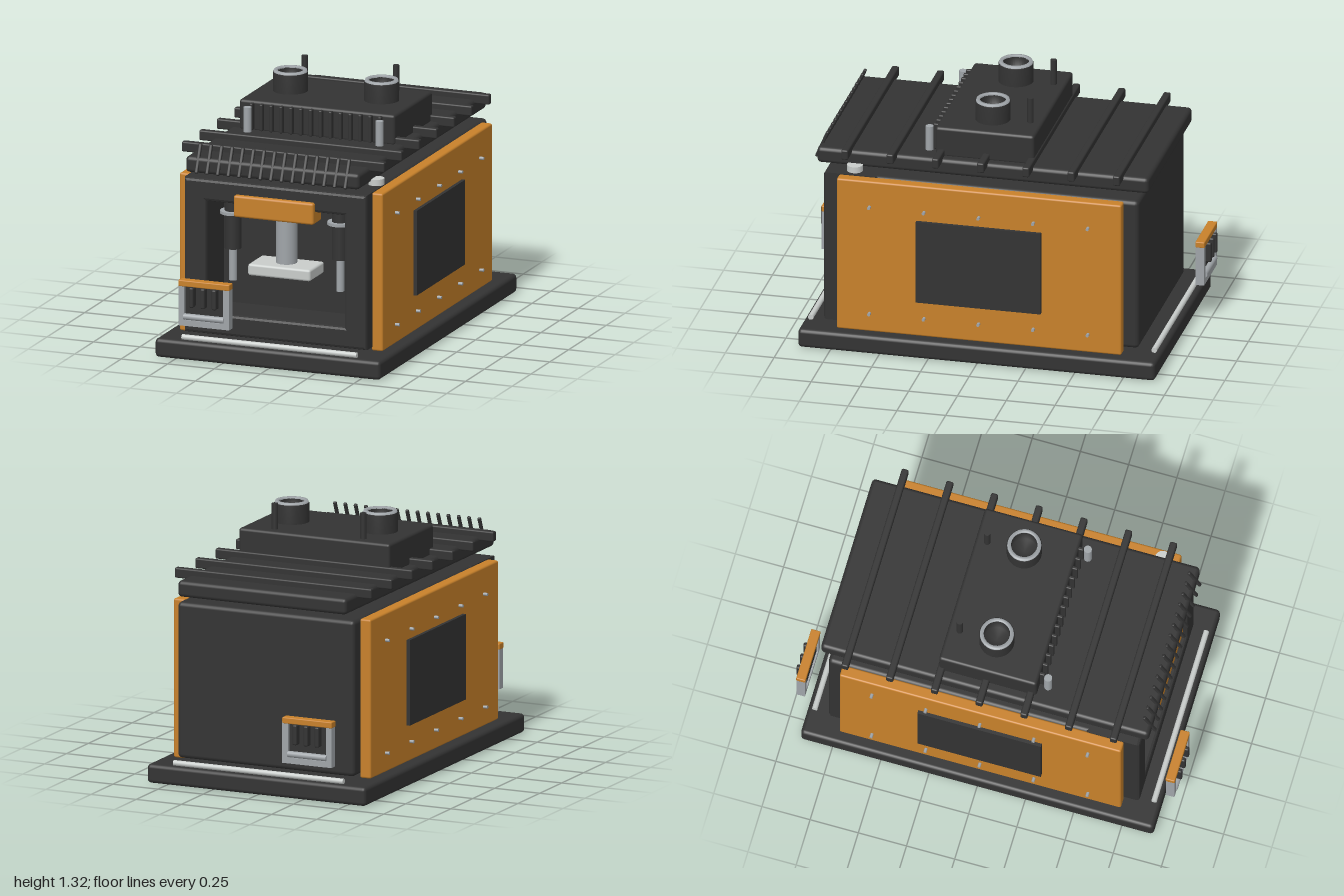
import * as THREE from 'three';
import { RoundedBoxGeometry } from 'three/addons/geometries/RoundedBoxGeometry.js';

const mat = (name, color) => {
  const m = new THREE.MeshStandardMaterial({ color });
  m.name = name;
  return m;
};

export function createModel() {
  const dark = mat('charcoal', 0x333333);
  const orange = mat('orange', 0xc8812a);
  const steel = mat('steel', 0xa0a5a9);
  const pale = mat('paleGrey', 0xc9cdcb);

  const model = new THREE.Group();
  model.name = 'machine';

  const add = (name, geometry, material, x, y, z, parent = model) => {
    const mesh = new THREE.Mesh(geometry, material);
    mesh.name = name;
    mesh.position.set(x, y, z);
    parent.add(mesh);
    return mesh;
  };
  // Box given by its limits on each axis, with optional rounded edges
  const box = (name, material, [x0, x1], [y0, y1], [z0, z1], r = 0, parent = model) => {
    const s = [x1 - x0, y1 - y0, z1 - z0];
    const g = r ? new RoundedBoxGeometry(...s, 2, r) : new THREE.BoxGeometry(...s);
    return add(name, g, material, (x0 + x1) / 2, (y0 + y1) / 2, (z0 + z1) / 2, parent);
  };
  // Upright cylinder between two heights
  const post = (name, material, x, z, r, y0, y1, parent = model) =>
    add(name, new THREE.CylinderGeometry(r, r, y1 - y0, 28), material, x, (y0 + y1) / 2, z, parent);
  // Cylinder lying along x
  const bar = (name, material, x0, x1, y, z, r, parent = model) => {
    const m = add(name, new THREE.CylinderGeometry(r, r, x1 - x0, 20), material, (x0 + x1) / 2, y, z, parent);
    m.rotation.z = Math.PI / 2;
    return m;
  };
  const rect = (path, x0, x1, y0, y1) => {
    path.moveTo(x0, y0);
    path.lineTo(x1, y0);
    path.lineTo(x1, y1);
    path.lineTo(x0, y1);
    path.closePath();
    return path;
  };
  const frame = (outer, inner, depth, bevel) => {
    const shape = rect(new THREE.Shape(), ...outer);
    shape.holes.push(rect(new THREE.Path(), ...inner));
    return new THREE.ExtrudeGeometry(shape, {
      depth, bevelEnabled: bevel > 0, bevelSize: bevel, bevelThickness: bevel, bevelSegments: 2,
    });
  };

  // Base plate with feet and the two light strips
  box('basePlate', dark, [-0.605, 0.605], [0.003, 0.1], [-0.915, 0.915], 0.02);
  for (const sx of [-1, 1]) for (const sz of [-1, 1]) {
    add('foot', new THREE.BoxGeometry(0.1, 0.008, 0.1), steel, sx * 0.5, 0.004, sz * 0.81);
  }
  for (const z of [-0.88, 0.88]) bar('lightStrip', pale, -0.47, 0.47, 0.113, z, 0.014);

  // Main housing: closed rear and a front frame around the work chamber
  box('housing', dark, [-0.49, 0.49], [0.12, 0.918], [-0.805, 0.57], 0.022);
  add('chamberFrame', frame([-0.475, 0.475, 0.135, 0.903], [-0.385, 0.385, 0.215, 0.82], 0.25, 0.015),
    dark, 0, 0, 0.545);

  // Work chamber: table, column, front grip and twin pistons
  box('workTable', pale, [-0.168, 0.168], [0.43, 0.49], [0.57, 0.76], 0.012);
  post('column', steel, 0, 0.655, 0.053, 0.48, 0.8);
  box('frontGrip', orange, [-0.215, 0.215], [0.745, 0.857], [0.72, 0.835], 0.012);
  for (const x of [-0.288, 0.288]) {
    post('pistonSleeve', dark, x, 0.655, 0.042, 0.535, 0.97);
    post('pistonCollar', steel, x, 0.655, 0.065, 0.715, 0.73);
    post('pistonRod', steel, x, 0.655, 0.02, 0.37, 0.54);
  }

  // Side panels with windows and screws
  for (const s of [-1, 1]) {
    const side = new THREE.Group();
    side.name = s > 0 ? 'leftSidePanel' : 'rightSidePanel';
    model.add(side);
    const span = (a, b) => (s > 0 ? [a, b] : [-b, -a]);
    box('panel', orange, span(0.485, 0.546), [0.101, 0.915], [-0.73, 0.73], 0.01, side);
    box('window', dark, span(0.54, 0.564), [0.29, 0.727], [-0.32, 0.32], 0, side);
    for (const z of [-0.56, -0.28, 0, 0.28, 0.56]) for (const y of [0.2, 0.777]) {
      const [x0, x1] = span(0.54, 0.568);
      bar('screw', steel, x0, x1, y, z, 0.008, side);
    }
  }

  // Roof slab, cross ribs and the raked front teeth
  box('roof', dark, [-0.467, 0.467], [0.955, 1.038], [-0.85, 0.85], 0.02);
  for (let i = 0; i < 7; i++) {
    const z = -0.703 + i * 0.232;
    box('roofRib', dark, [-0.545, 0.545], [1.018, 1.07], [z - 0.018, z + 0.018], 0.008);
  }
  for (let i = 0; i < 15; i++) {
    const tooth = add('frontTooth', new RoundedBoxGeometry(0.018, 0.152, 0.016, 2, 0.006), dark,
      -0.4 + i * 0.0571, 1.03, 0.838);
    tooth.rotation.x = -0.4;
  }
  post('roofKnob', pale, 0.48, 0.65, 0.04, 0.94, 0.972);

  // Raised engine box with fins, side pins, chimneys and rods
  box('topBox', dark, [-0.418, 0.418], [1.03, 1.188], [-0.252, 0.255], 0.015);
  for (let i = 0; i < 14; i++) {
    const x = -0.345 + i * 0.0531;
    box('topBoxFin', dark, [x - 0.009, x + 0.009], [1.04, 1.178], [0.245, 0.28], 0.006);
  }
  const chimneyProfile = [[0.088, 1.18], [0.088, 1.283], [0.083, 1.288]];
  const rimProfile = [[0.086, 1.283], [0.082, 1.296], [0.066, 1.296], [0.066, 1.285]];
  const boreProfile = [[0.066, 1.287], [0.066, 1.2], [0, 1.2]];
  const lathe = (pts) => new THREE.LatheGeometry(pts.map((p) => new THREE.Vector2(...p)), 36);
  for (const x of [-0.245, 0.245]) {
    add('chimney', lathe(chimneyProfile), dark, x, 0, 0);
    add('chimneyRim', lathe(rimProfile), steel, x, 0, 0);
    add('chimneyBore', lathe(boreProfile), dark, x, 0, 0);
    post('topRod', dark, x, -0.192, 0.016, 1.18, 1.32);
  }
  for (const x of [-0.355, 0.355]) post('sidePin', steel, x, 0.298, 0.02, 1.035, 1.165);

  // Handle brackets at the front and back
  const makeHandle = (name, s) => {
    const g = new THREE.Group();
    g.name = name;
    const span = (a, b) => (s > 0 ? [a, b] : [-b, -a]);
    add('bracketFrame', frame([-0.45, -0.178, 0.2, 0.41], [-0.42, -0.21, 0.23, 0.405], 0.044, 0),
      steel, 0, 0, s > 0 ? 0.936 : -0.98, g);
    box('bracketCap', orange, [-0.452, -0.177], [0.402, 0.434], span(0.934, 0.982), 0.005, g);
    box('bracketInsert', dark, [-0.422, -0.208], [0.228, 0.405], span(0.945, 0.962), 0, g);
    bar('bracketBar', steel, -0.422, -0.208, 0.247, s * 0.973, 0.016, g);
    for (const x of [-0.376, -0.315, -0.254]) {
      box('bracketFin', dark, [x - 0.012, x + 0.012], [0.3, 0.404], span(0.955, 1), 0.008, g);
    }
    model.add(g);
  };
  makeHandle('frontHandle', 1);
  makeHandle('backHandle', -1);

  return model;
}
